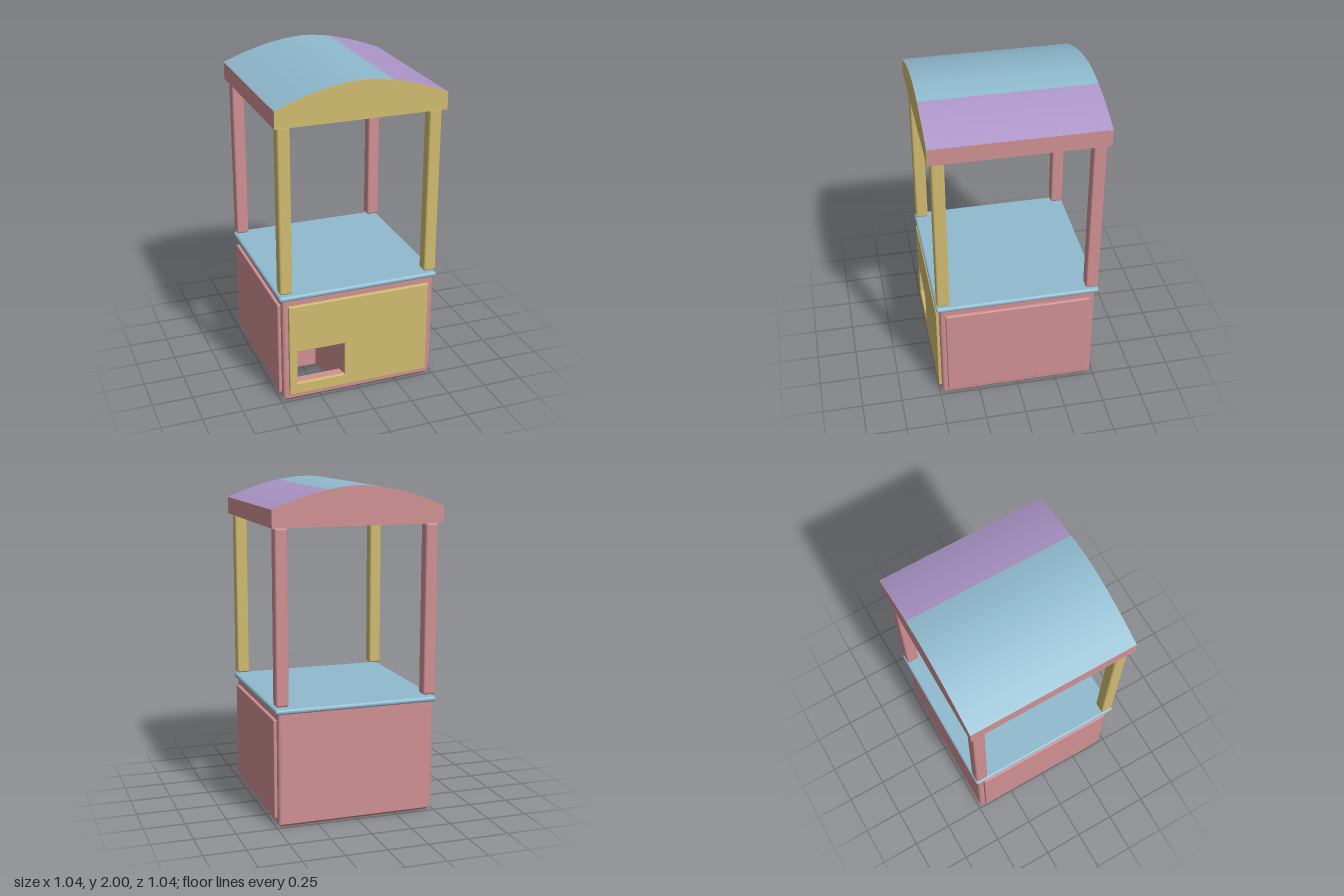
import * as THREE from 'three';
import { RoundedBoxGeometry } from 'three/addons/geometries/RoundedBoxGeometry.js';

const mat = (name, color) => Object.assign(new THREE.MeshStandardMaterial({ color }), { name });

// Height of the arched roof at x
const ROOF = 0.52;
const roofY = x => 2 - 0.125 * Math.pow(Math.abs(x) / ROOF, 1.75);

export function createModel() {
  const model = new THREE.Group();
  model.name = 'stall';
  const gold = mat('gold', 0xd0bb6f);
  const pink = mat('pink', 0xd09092);
  const blue = mat('blue', 0x8fbace);
  const purple = mat('purple', 0xac95c8);

  function add(name, geometry, material, x = 0, y = 0, z = 0, parent = model) {
    const mesh = new THREE.Mesh(geometry, material);
    mesh.name = name;
    mesh.position.set(x, y, z);
    parent.add(mesh);
    return mesh;
  }
  const vecs = pts => pts.map(([x, y]) => new THREE.Vector2(x, y));

  // Cabinet: stacked floor-plan slabs, with a slot that drops through the floor
  const W = 0.485, R = 0.02;
  function plan(notch = []) {
    const pts = [];
    [[1, -1], [1, 1], [-1, 1], [-1, -1]].forEach(([sx, sy], i) => {
      for (let k = 0; k <= 4; k++) {
        const a = (i - 1 + k / 4) * Math.PI / 2;
        pts.push([sx * (W - R) + R * Math.cos(a), sy * (W - R) + R * Math.sin(a)]);
      }
    });
    return new THREE.Shape(vecs([...pts, ...notch]));
  }
  function slab(shape, height) {
    const g = new THREE.ExtrudeGeometry(shape, { depth: height, bevelEnabled: false });
    return g.rotateX(-Math.PI / 2);
  }
  const pierced = plan();
  pierced.holes.push(new THREE.Path(vecs([[-0.4, -0.43], [-0.4, -0.14], [-0.16, -0.14], [-0.105, -0.43]])));
  const foot = slab(pierced, 0.015);
  const p = foot.attributes.position;
  for (let i = 0; i < p.count; i++) {
    const x = p.getX(i), z = p.getZ(i);
    if (p.getY(i) < 0.005 && Math.max(Math.abs(x), Math.abs(z)) > 0.45) p.setXYZ(i, x * 0.975, p.getY(i), z * 0.975);
  }
  foot.computeVertexNormals();
  const cabinet = new THREE.Group();
  cabinet.name = 'cabinet';
  model.add(cabinet);
  add('cabinetFoot', foot, pink, 0, 0, 0, cabinet);
  add('cabinetBottom', slab(pierced, 0.105), pink, 0, 0.015, 0, cabinet);
  const notch = [[-0.4, -W], [-0.4, -0.14], [-0.16, -0.14], [-0.095, -W]];
  add('cabinetMiddle', slab(plan(notch), 0.22), pink, 0, 0.12, 0, cabinet);
  add('cabinetTop', slab(plan(), 0.35), pink, 0, 0.34, 0, cabinet);

  // Front panel with the slot opening
  const panel = new THREE.Shape(vecs([[-0.445, 0.05], [0.445, 0.05], [0.445, 0.645], [-0.445, 0.645]]));
  panel.holes.push(new THREE.Path(vecs([[-0.405, 0.115], [-0.405, 0.345], [-0.09, 0.345], [-0.09, 0.115]])));
  add('frontPanel', new THREE.ExtrudeGeometry(panel, {
    depth: 0.015, bevelSize: 0.005, bevelThickness: 0.005, bevelSegments: 2,
  }), gold, 0, 0, 0.485);

  // Side panels
  for (const s of [-1, 1]) {
    add(s > 0 ? 'leftPanel' : 'rightPanel', new RoundedBoxGeometry(0.03, 0.605, 0.9, 2, 0.007), pink, s * 0.489, 0.3475, 0);
  }

  // Counter
  add('counter', new RoundedBoxGeometry(1.01, 0.032, 1.01, 4, 0.015), blue, 0, 0.706, 0);

  // Posts: gold in front, pink behind
  for (const sx of [-1, 1]) {
    for (const sz of [-1, 1]) {
      add(sz > 0 ? 'frontPost' : 'backPost', new RoundedBoxGeometry(0.077, 1.035, 0.077, 3, 0.013),
        sz > 0 ? gold : pink, sx * 0.46, 1.2525, sz * 0.46);
    }
  }

  // Roof body, gold front gable, and the two coloured bands on top
  const roof = new THREE.Group();
  roof.name = 'roof';
  model.add(roof);
  const arch = [[-ROOF, 1.77], [ROOF, 1.77]];
  for (let i = 0; i <= 40; i++) {
    const x = ROOF * (1 - i / 20);
    arch.push([x, roofY(x) - 0.001]);
  }
  const gable = new THREE.Shape(vecs(arch));
  add('roofBody', new THREE.ExtrudeGeometry(gable, { depth: 1.035, bevelEnabled: false }), pink, 0, 0, -0.52, roof);
  add('frontGable', new THREE.ExtrudeGeometry(gable, { depth: 0.005, bevelEnabled: false }), gold, 0, 0, 0.515, roof);
  function band(name, x0, x1, material) {
    const g = new THREE.PlaneGeometry(x1 - x0, 1.04, 30, 1).rotateX(-Math.PI / 2).translate((x0 + x1) / 2, 0, 0);
    const q = g.attributes.position;
    for (let i = 0; i < q.count; i++) q.setY(i, roofY(q.getX(i)));
    g.computeVertexNormals();
    add(name, g, material, 0, 0, 0, roof);
  }
  band('roofBandWide', -ROOF, 0.185, blue);
  band('roofBandNarrow', 0.185, ROOF, purple);

  return model;
}
